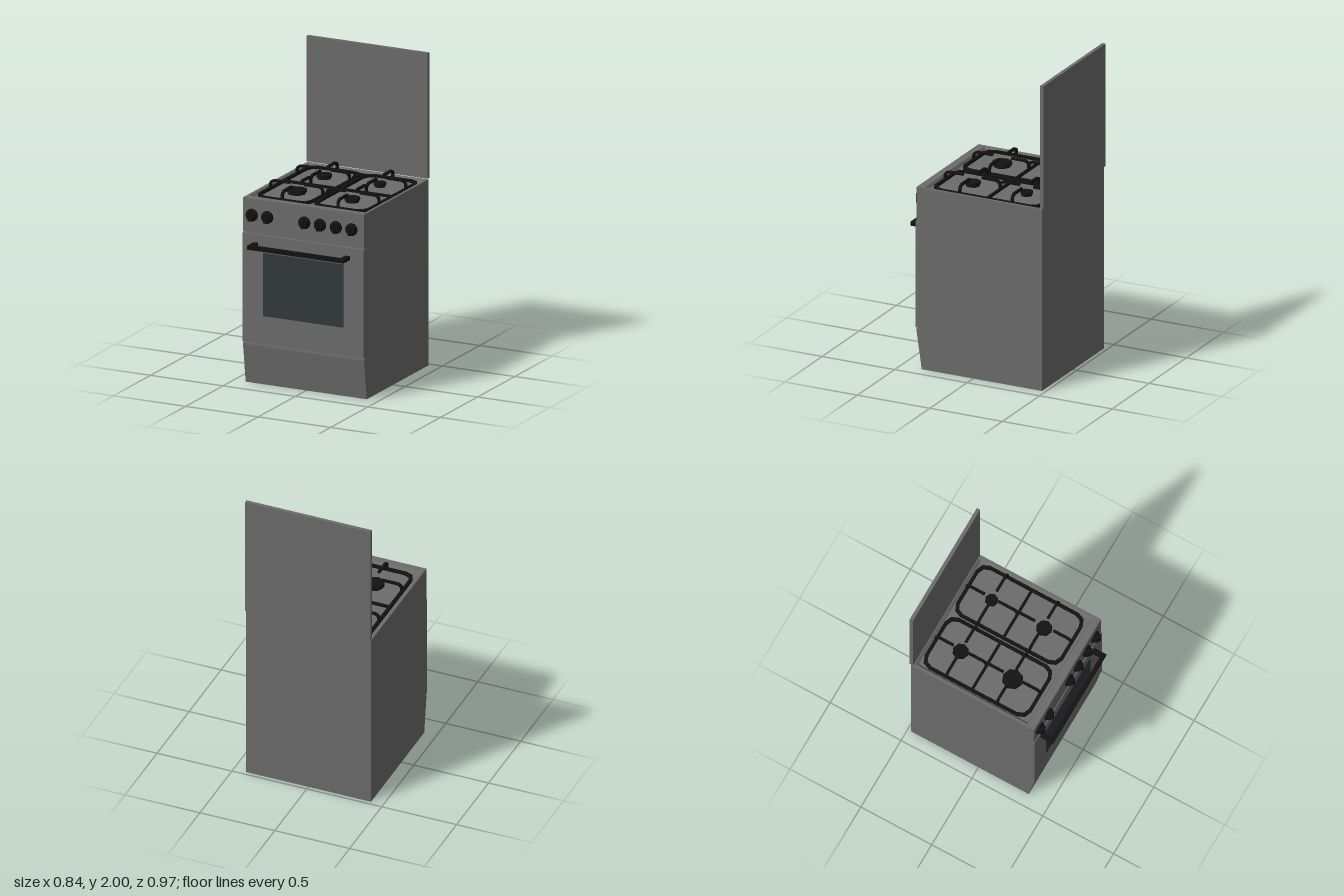
import * as THREE from 'three';

const grey = new THREE.MeshStandardMaterial({ color: 0x6c6c6c });
const black = new THREE.MeshStandardMaterial({ color: 0x121212 });
const glass = new THREE.MeshStandardMaterial({ color: 0x32383a });

const W = 0.418, FLOOR = 1.172, TOP = 1.19;

function add(parent, name, geometry, material) {
  const mesh = new THREE.Mesh(geometry, material);
  mesh.name = name;
  parent.add(mesh);
  return mesh;
}

// Box given by its limits on each axis
function box(parent, name, material, [x0, x1], [y0, y1], [z0, z1]) {
  const g = new THREE.BoxGeometry(x1 - x0, y1 - y0, z1 - z0);
  g.translate((x0 + x1) / 2, (y0 + y1) / 2, (z0 + z1) / 2);
  return add(parent, name, g, material);
}

const toShape = pts => new THREE.Shape(pts.map(p => new THREE.Vector2(...p)));
const extrude = (shape, depth) => new THREE.ExtrudeGeometry(shape, { depth, bevelEnabled: false });

// Stacked rectangular rings [halfWidth, zBack, zFront, y], capped by the last one
function ringLoft(rings) {
  const c = rings.map(([x, z0, z1, y]) => [[-x, y, z1], [x, y, z1], [x, y, z0], [-x, y, z0]]);
  const pos = [];
  const quad = (a, b, d, e) => pos.push(...a, ...b, ...d, ...a, ...d, ...e);
  for (let i = 0; i < c.length - 1; i++)
    for (let j = 0; j < 4; j++) {
      const k = (j + 1) % 4;
      quad(c[i][j], c[i][k], c[i + 1][k], c[i + 1][j]);
    }
  quad(...c[c.length - 1]);
  const g = new THREE.BufferGeometry();
  g.setAttribute('position', new THREE.Float32BufferAttribute(pos, 3));
  g.computeVertexNormals();
  return g;
}

// Rectangle with corners cut in two facets
function facetedRect(x0, x1, z0, z1, r) {
  const pts = [];
  [[x1 - r, z1 - r], [x0 + r, z1 - r], [x0 + r, z0 + r], [x1 - r, z0 + r]].forEach(([cx, cz], q) => {
    for (let i = 0; i <= 2; i++) {
      const a = (q + i / 2) * Math.PI / 2;
      pts.push([cx + r * Math.cos(a), cz + r * Math.sin(a)]);
    }
  });
  return pts;
}

// Pan support finger: rises from (x, z), bends and runs level for a length
function finger(parent, x, z, toX, toZ) {
  const L = Math.hypot(toX - x, toZ - z), w = 0.016;
  const g = extrude(toShape([
    [0, FLOOR], [0.015, FLOOR], [0.015, 1.208], [0.022, 1.22], [0.036, 1.226],
    [L, 1.226], [L, 1.24], [0.03, 1.24], [0.01, 1.23], [0, 1.213],
  ]), w);
  g.translate(0, 0, -w / 2);
  const m = add(parent, 'panSupportFinger', g, black);
  m.position.set(x, 0, z);
  m.rotation.y = Math.atan2(z - toZ, toX - x);
}

function grate(parent, name, x0, x1, burners) {
  const group = new THREE.Group();
  group.name = name;
  parent.add(group);
  const zBack = -0.436, zMid = -0.073, zFront = 0.315, t = 0.02;

  // Outer frame and middle bar
  const shape = toShape(facetedRect(x0, x1, zBack, zFront, 0.065));
  shape.holes.push(toShape(facetedRect(x0 + t, x1 - t, zBack + t, zFront - t, 0.055)));
  const g = extrude(shape, 0.016);
  g.rotateX(Math.PI / 2).translate(0, FLOOR + 0.016, 0);
  add(group, 'grateFrame', g, black);
  box(group, 'grateMiddleBar', black, [x0 + 0.01, x1 - 0.01], [FLOOR, FLOOR + 0.015], [zMid - 0.008, zMid + 0.008]);

  // Four fingers around each burner
  for (const { x, z, r, gap, back } of burners) {
    const zb = back ? zBack : zMid - 0.007, zf = back ? zMid + 0.007 : zFront;
    const fz = back ? z + 0.006 : z - 0.004;
    finger(group, x0 + 0.002, fz, x - 0.052, fz);
    finger(group, x1 - 0.002, fz, x + 0.052, fz);
    finger(group, x, zb, x, z - gap);
    finger(group, x, zf, x, z + gap);

    // Burner ring and cap
    const burner = new THREE.Group();
    burner.name = 'burner';
    burner.position.set(x, FLOOR, z);
    parent.add(burner);
    add(burner, 'burnerRing', new THREE.CylinderGeometry(r * 0.8, r * 0.85, 0.014, 8).toNonIndexed(), black)
      .position.y = 0.007;
    add(burner, 'burnerCap', new THREE.CylinderGeometry(r * 0.95, r, 0.014, 8).toNonIndexed(), black)
      .position.y = 0.021;
    burner.children.forEach(m => m.geometry.computeVertexNormals());
  }
}

function knob(parent, x) {
  const group = new THREE.Group();
  group.name = 'knob';
  group.position.set(x, 1.085, 0.39);
  parent.add(group);
  const profile = [[0, 0], [0.04, 0], [0.04, 0.012], [0.034, 0.016], [0.029, 0.032], [0, 0.032]];
  const g = new THREE.LatheGeometry(profile.map(p => new THREE.Vector2(...p)), 16).toNonIndexed();
  g.rotateX(Math.PI / 2);
  g.computeVertexNormals();
  add(group, 'knobBody', g, black);
  box(group, 'knobGrip', black, [-0.009, 0.009], [-0.031, 0.031], [0.02, 0.043]);
}

export function createModel() {
  const model = new THREE.Group();
  model.name = 'cooker';

  // Cabinet: side profile (z, y) with slanted drawer front and door recess
  const body = extrude(toShape([
    [-0.475, 0], [0.355, 0], [0.391, 0.25], [0.391, 0.262], [0.366, 0.262],
    [0.366, 0.97], [0.391, 0.97], [0.391, 1.16], [-0.475, 1.16],
  ]), 2 * W);
  body.rotateY(-Math.PI / 2).translate(W, 0, 0);
  add(model, 'cabinet', body, grey);

  // Hob with raised edge and sunken tray
  add(model, 'hob', ringLoft([
    [W, -0.475, 0.391, 1.16], [W, -0.475, 0.391, TOP],
    [0.4, -0.458, 0.342, TOP], [0.385, -0.441, 0.328, FLOOR],
  ]), grey);

  // Raised lid
  box(model, 'lid', grey, [-W, W], [1.197, 2], [-0.485, -0.462]);

  // Oven door, window and handle
  box(model, 'ovenDoor', grey, [-W, W], [0.268, 0.965], [0.366, 0.396]);
  box(model, 'ovenWindow', glass, [-0.277, 0.277], [0.45, 0.855], [0.38, 0.398]);
  const handle = new THREE.Group();
  handle.name = 'ovenHandle';
  model.add(handle);
  box(handle, 'handleBar', black, [-0.342, 0.322], [0.888, 0.914], [0.457, 0.482]);
  for (const x of [-0.342, 0.291])
    box(handle, 'handlePost', black, [x, x + 0.031], [0.888, 0.914], [0.394, 0.46]);

  // Control knobs
  for (const x of [-0.355, -0.248, 0.008, 0.116, 0.226, 0.333]) knob(model, x);

  // Pan supports and burners
  grate(model, 'rightGrate', -0.383, -0.003, [
    { x: -0.19, z: -0.255, r: 0.052, gap: 0.05, back: true },
    { x: -0.19, z: 0.112, r: 0.067, gap: 0.065, back: false },
  ]);
  grate(model, 'leftGrate', 0.009, 0.387, [
    { x: 0.195, z: -0.255, r: 0.042, gap: 0.048, back: true },
    { x: 0.195, z: 0.116, r: 0.052, gap: 0.065, back: false },
  ]);
  return model;
}
